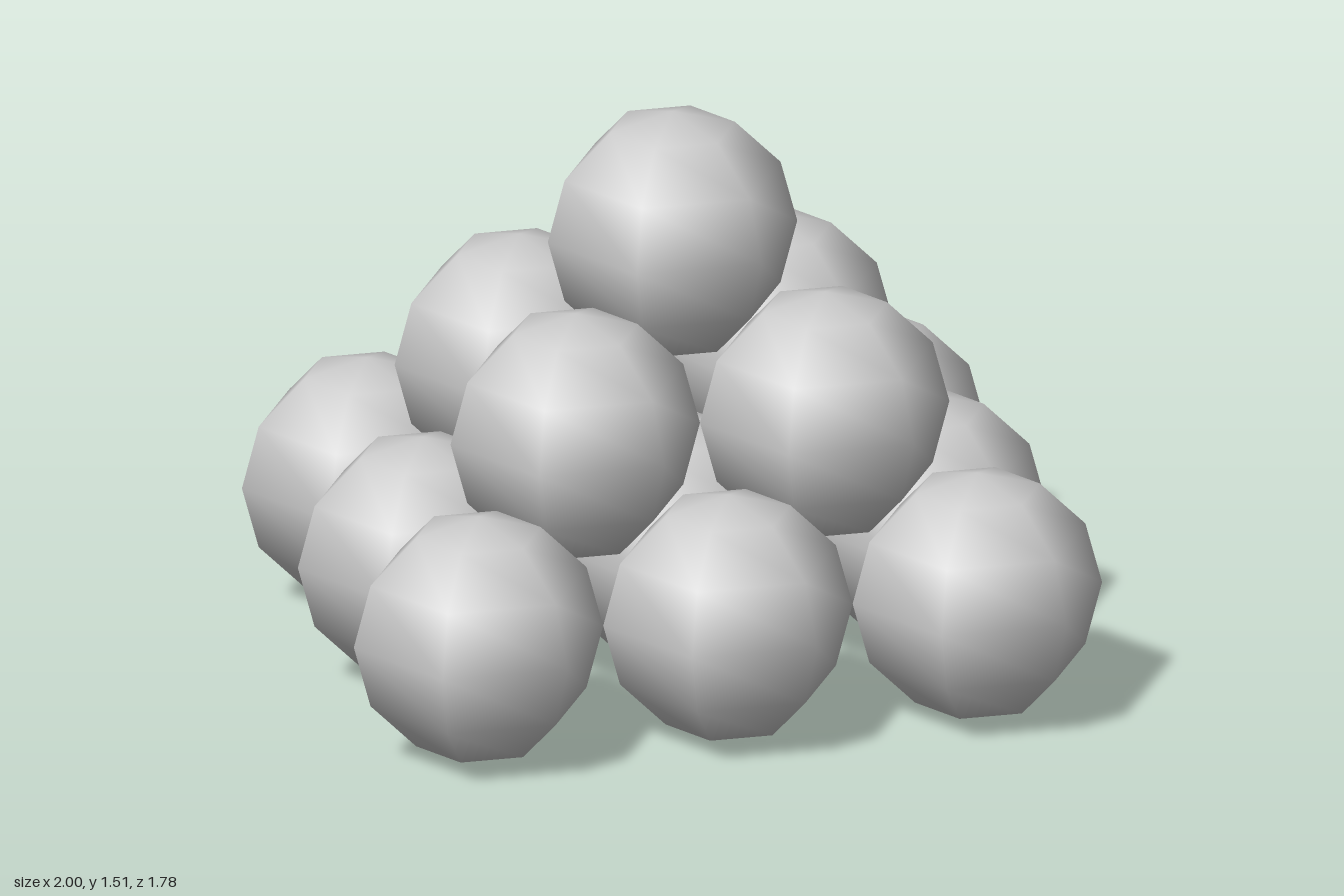
import * as THREE from 'three';

const R = 0.333;           // ball radius
const STEP_X = 0.666;      // spacing between neighbours
const STEP_Z = 0.602;
const LAYER_RISE = 0.422;

export function createModel() {
  const group = new THREE.Group();
  group.name = 'ballPyramid';
  const material = new THREE.MeshStandardMaterial({ color: 0xcccccc });
  // Coarse six-sided ball with smooth normals
  const ball = new THREE.SphereGeometry(R, 6, 6);

  // Square layers of 3x3, 2x2 and 1 ball, each resting in the hollows below
  ['bottomLayer', 'middleLayer', 'topLayer'].forEach((name, level) => {
    const layer = new THREE.Group();
    layer.name = name;
    layer.position.y = R + level * LAYER_RISE;
    const count = 3 - level;
    const mid = (count - 1) / 2;
    for (let row = 0; row < count; row++) {
      for (let col = 0; col < count; col++) {
        const mesh = new THREE.Mesh(ball, material);
        mesh.name = `ball_${row + 1}_${col + 1}`;
        mesh.position.set((col - mid) * STEP_X, 0, (row - mid) * STEP_Z);
        // The back right ball of the base and the top ball sit slightly off the grid
        if (level === 0 && row === 0 && col === 2) mesh.position.x -= 0.012;
        if (level === 2) mesh.position.z += 0.006;
        layer.add(mesh);
      }
    }
    group.add(layer);
  });
  return group;
}
